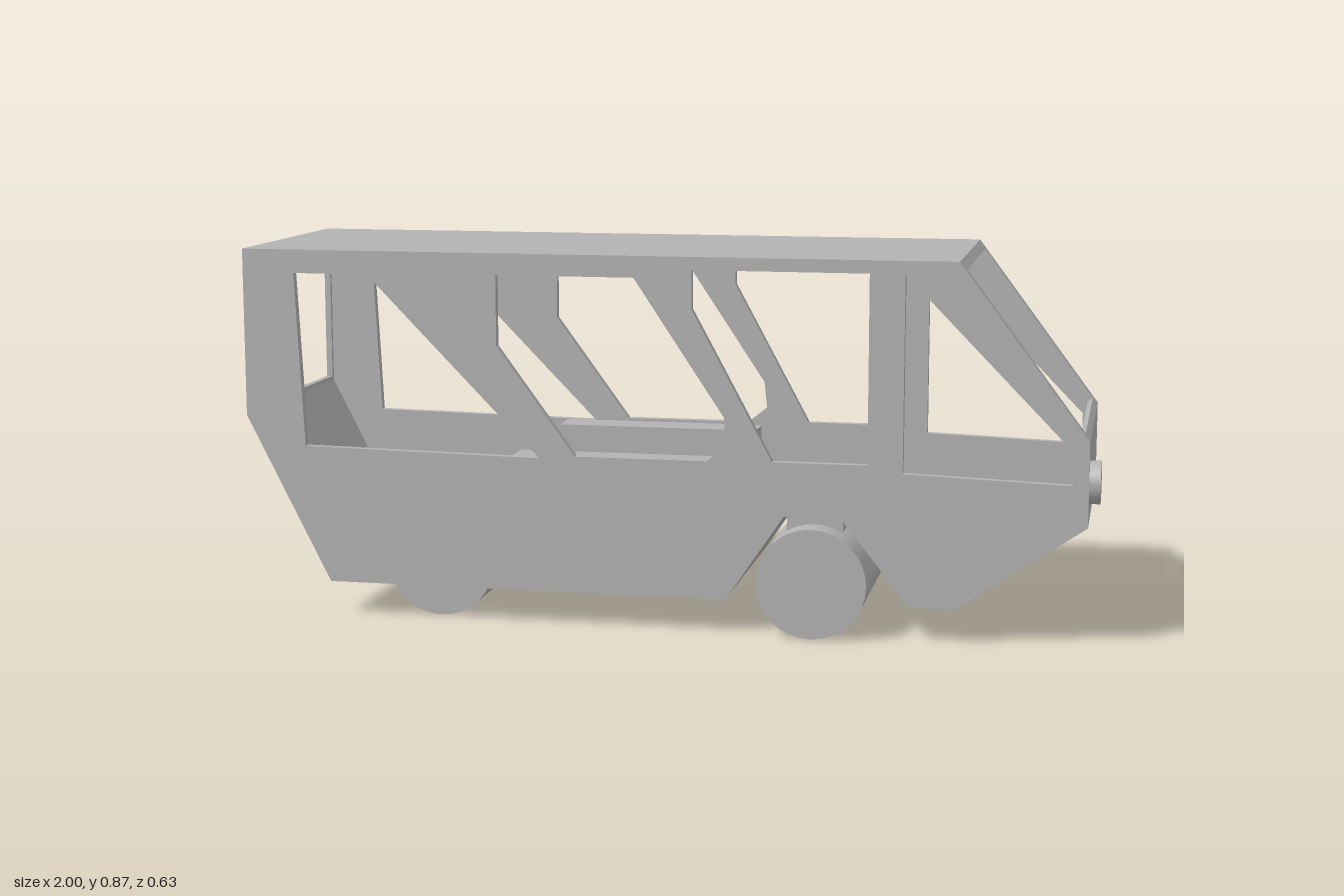
import * as THREE from 'three';

const HALF = 0.295;   // half width of the body
const WALL = 0.02;    // side wall thickness
const SKIN = 0.015;   // panel thickness

// Side outline, counter-clockwise from the rear of the floor
const outline = [
  [-0.8, 0.08], [0.155, 0.08], [0.29, 0.28], [0.42, 0.28], [0.58, 0.08], [0.68, 0.08],
  [0.975, 0.28], [0.975, 0.475], [0.68, 0.87], [-1, 0.87], [-1, 0.475],
];
const panelNames = [
  'floor', 'archRear', 'archTop', 'archFront', 'frontFloor', 'noseUnderside',
  'nosePanel', 'windscreenFrame', 'roof', 'rearWindowFrame', 'tailPanel',
];
// Openings per panel: [start, end, half width], measured along the panel
const openings = {
  floor: [0.12, 0.39, 0.26],
  windscreenFrame: [0.019, 0.468, 0.265],
  rearWindowFrame: [0.02, 0.38, 0.265],
};
const sideWindows = [
  [[-0.875, 0.815], [-0.695, 0.815], [-0.285, 0.395], [-0.855, 0.405]],
  [[-0.385, 0.82], [-0.06, 0.82], [0.15, 0.505], [0.157, 0.44], [0.11, 0.402], [-0.2, 0.402], [-0.385, 0.655]],
  [[0.075, 0.84], [0.48, 0.84], [0.48, 0.405], [0.262, 0.405], [0.075, 0.75]],
  [[0.56, 0.84], [0.94, 0.45], [0.94, 0.375], [0.56, 0.388]],
];

const toPoints = (list) => list.map(([x, y]) => new THREE.Vector2(x, y));

export function createModel() {
  const model = new THREE.Group();
  model.name = 'minibus';
  const grey = new THREE.MeshStandardMaterial({ color: 0xb3b3b3 });
  grey.name = 'grey';

  const add = (name, geometry, x = 0, y = 0, z = 0) => {
    const mesh = new THREE.Mesh(geometry, grey);
    mesh.name = name;
    mesh.position.set(x, y, z);
    model.add(mesh);
    return mesh;
  };

  // Side walls with window openings
  const side = new THREE.Shape(toPoints(outline));
  sideWindows.forEach((w) => side.holes.push(new THREE.Path(toPoints(w))));
  const sideGeometry = new THREE.ExtrudeGeometry(side, { depth: WALL, bevelEnabled: false });
  add('leftSide', sideGeometry, 0, 0, HALF - WALL);
  add('rightSide', sideGeometry, 0, 0, -HALF);

  // Panels spanning between the side walls, one per outline edge
  const w = HALF - WALL;
  outline.forEach(([ax, ay], i) => {
    const [bx, by] = outline[(i + 1) % outline.length];
    const length = Math.hypot(bx - ax, by - ay);
    const dx = (bx - ax) / length, dy = (by - ay) / length;
    const shape = new THREE.Shape(toPoints([[0, -w], [length, -w], [length, w], [0, w]]));
    const hole = openings[panelNames[i]];
    if (hole) {
      const [s, e, h] = hole;
      shape.holes.push(new THREE.Path(toPoints([[s, -h], [s, h], [e, h], [e, -h]])));
    }
    const geometry = new THREE.ExtrudeGeometry(shape, { depth: SKIN, bevelEnabled: false });
    geometry.applyMatrix4(new THREE.Matrix4().makeBasis(
      new THREE.Vector3(dx, dy, 0), new THREE.Vector3(0, 0, -1), new THREE.Vector3(-dy, dx, 0),
    ));
    add(panelNames[i], geometry, ax, ay, 0);
  });

  // Full-width rollers as wheels, the rear one set into the floor opening
  const roller = (name, x, width) => {
    const geometry = new THREE.CylinderGeometry(0.128, 0.128, width, 32).rotateX(Math.PI / 2);
    add(name, geometry, x, 0.128, 0);
  };
  roller('frontWheels', 0.355, 0.63);
  roller('rearWheels', -0.54, 0.5);

  // Mount joining the front wheels to the arch
  add('frontWheelMount', new THREE.BoxGeometry(0.13, 0.15, 0.5), 0.355, 0.21, 0);

  // Long benches along both sides
  for (const s of [1, -1]) {
    add(s > 0 ? 'leftBench' : 'rightBench', new THREE.BoxGeometry(0.5, 0.305, 0.09), -0.107, 0.2425, s * 0.232);
  }

  // Single headlight on the nose
  add('headlight', new THREE.CylinderGeometry(0.049, 0.049, 0.03, 32).rotateZ(Math.PI / 2), 0.985, 0.375, 0.238);

  return model;
}
